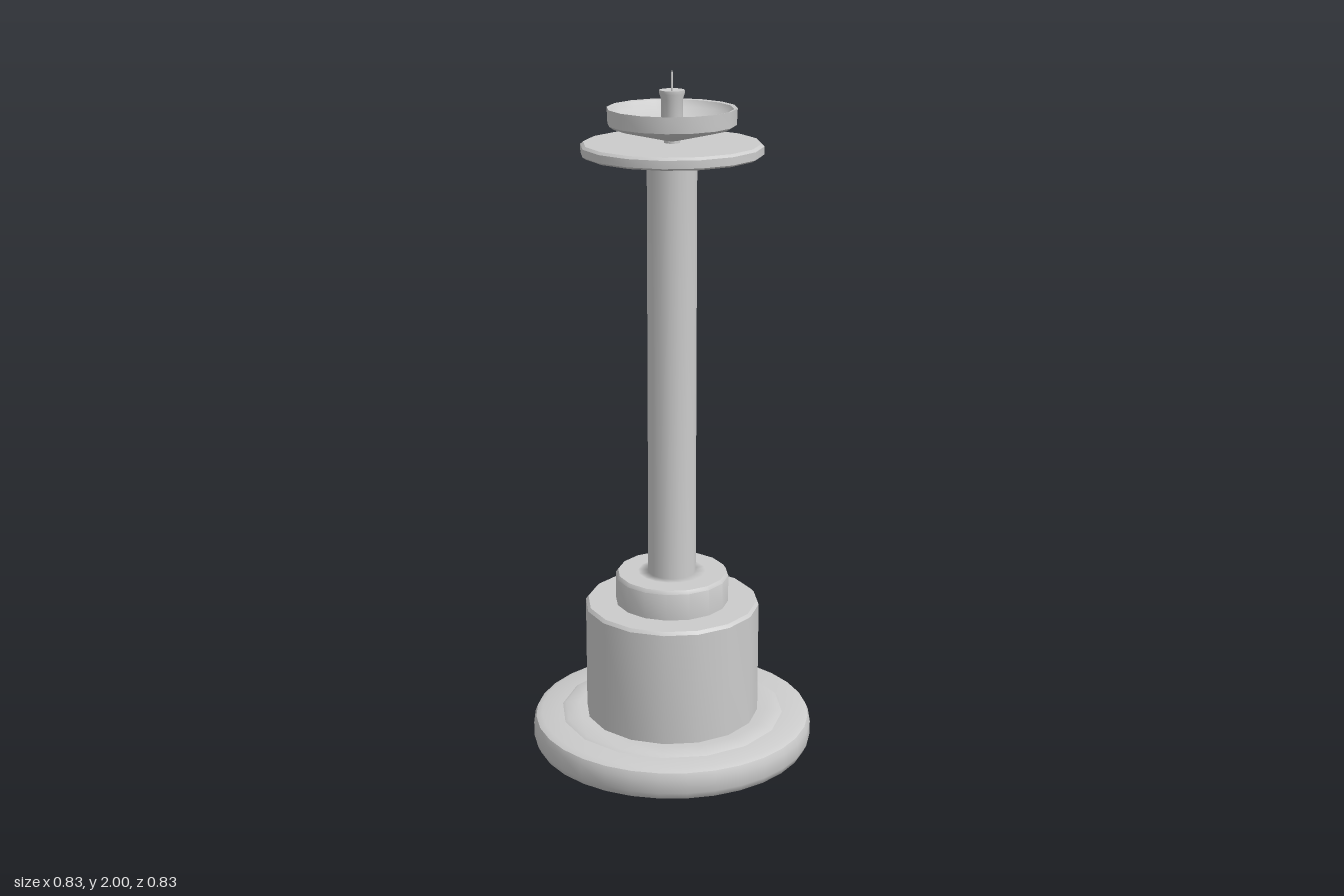
import * as THREE from 'three';
import { toCreasedNormals } from 'three/addons/utils/BufferGeometryUtils.js';

const material = new THREE.MeshStandardMaterial({ color: 0xcccccc });

export function createModel() {
  const group = new THREE.Group();

  // Turn a profile of [radius, height] pairs, listed from the bottom outwards and up
  function turn(name, profile, sides = 16, crease = 0.7) {
    const points = profile.map(([r, y]) => new THREE.Vector2(r, y));
    let geometry = new THREE.LatheGeometry(points, sides);
    if (crease) geometry = toCreasedNormals(geometry, crease);
    const mesh = new THREE.Mesh(geometry, material);
    mesh.name = name;
    group.add(mesh);
  }

  // Round foot with a softened rim
  turn('foot', [
    [0, 0], [0.385, 0], [0.405, 0.01], [0.414, 0.03],
    [0.414, 0.072], [0.407, 0.09], [0.39, 0.098], [0.3, 0.098], [0, 0.098],
  ], 32);

  // Shallow raised step on the foot
  turn('footStep', [[0.335, 0.095], [0.32, 0.104], [0.28, 0.106], [0.25, 0.104]]);

  // Drum and the narrower collar above it
  turn('drum', [[0.256, 0.098], [0.256, 0.442], [0.248, 0.451], [0.15, 0.451]]);
  turn('collar', [[0.166, 0.45], [0.166, 0.53], [0.159, 0.54], [0.06, 0.54]]);

  // Stem blends its shading softly into the collar and the drip plate
  turn('stem', [[0.1, 0.541], [0.07, 0.541], [0.07, 1.766], [0.1, 1.766]], 16, 0);

  // Drip plate
  turn('dripPlate', [
    [0, 1.766], [0.244, 1.766], [0.254, 1.772],
    [0.254, 1.794], [0.246, 1.801], [0, 1.801],
  ]);

  // Hollow dish on a conical underside
  turn('dish', [
    [0.022, 1.8], [0.022, 1.808], [0.165, 1.843], [0.178, 1.852], [0.18, 1.897],
    [0.17, 1.895], [0.158, 1.876], [0.1, 1.85], [0, 1.838],
  ]);

  // Candle socket with a flared lip
  turn('socket', [
    [0.03, 1.838], [0.03, 1.92], [0.035, 1.935], [0.035, 1.945], [0.028, 1.945], [0, 1.938],
  ]);

  // Thin wick
  turn('wick', [[0.003, 1.935], [0.003, 1.99], [0, 2]], 6);

  return group;
}
